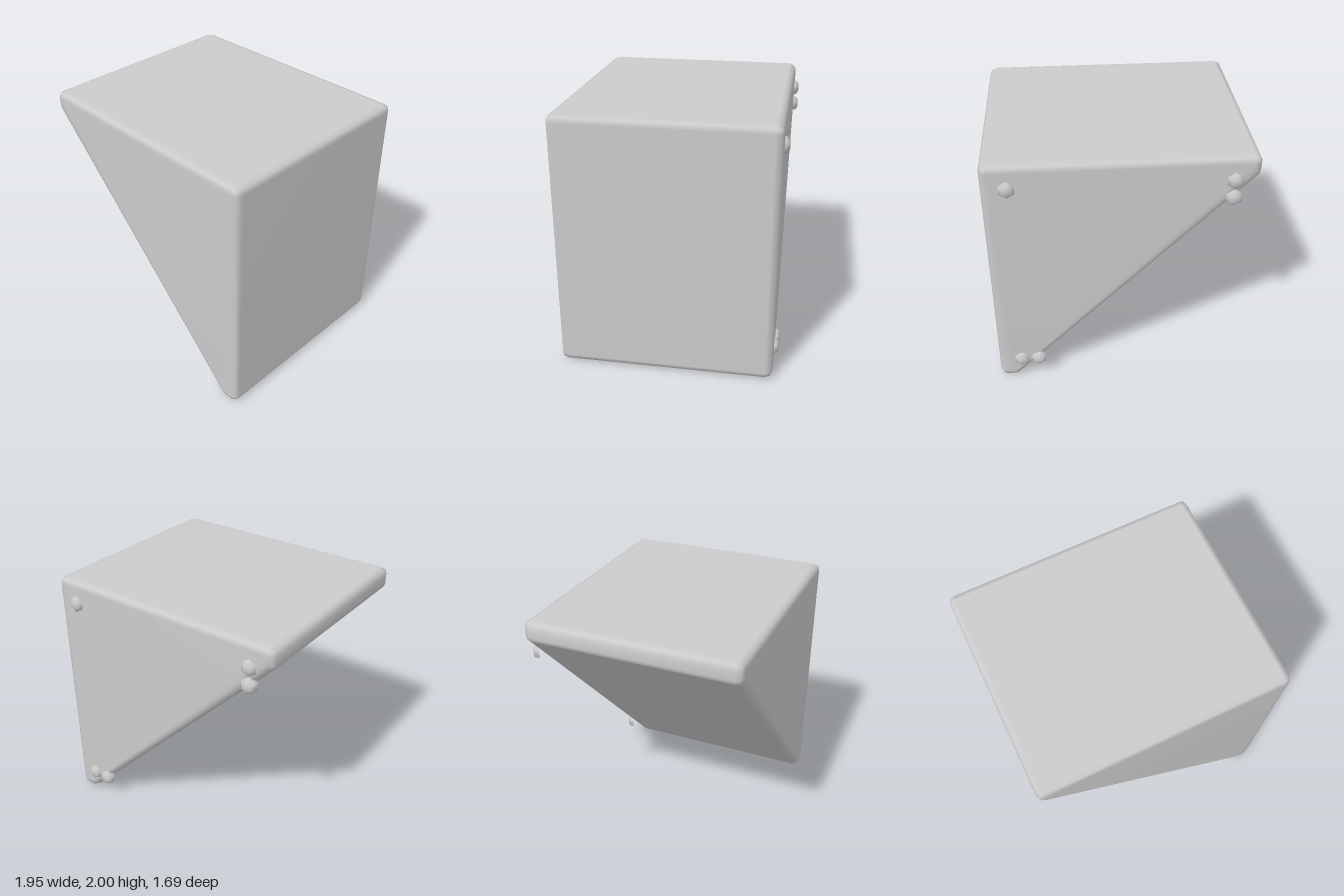
import * as THREE from 'three';
import { mergeVertices } from 'three/addons/utils/BufferGeometryUtils.js';
import { ConvexGeometry } from 'three/addons/geometries/ConvexGeometry.js';

const BEVEL = 0.055;
const FRONT = 0.843, BACK = -0.812;

const material = () => new THREE.MeshStandardMaterial({ color: 0xcccccc });

// Right-angled wedge with blunted tips and a two-step rounded bevel on every edge
function wedgeGeometry() {
  // corners of the flat faces, counter-clockwise, already inset by the bevel
  const corners = [
    [-0.922, 1.88], [0.86, 0.058], [0.922, 0.058], [0.922, 1.945], [-0.922, 1.945],
  ].map(([x, y]) => new THREE.Vector2(x, y));
  const normal = (a, b) => new THREE.Vector2(b.y - a.y, a.x - b.x).normalize();
  const points = [];
  corners.forEach((c, i) => {
    const n0 = normal(corners.at(i - 1), c);
    const n1 = normal(c, corners[(i + 1) % corners.length]);
    const dirs = [n0, n0.clone().add(n1).normalize(), n1];
    for (const [face, sign] of [[FRONT, 1], [BACK, -1]]) {
      points.push(new THREE.Vector3(c.x, c.y, face));
      for (const d of dirs) {
        for (const angle of [0, Math.PI / 4]) {
          const r = BEVEL * Math.cos(angle);
          const z = face - sign * BEVEL * (1 - Math.sin(angle));
          points.push(new THREE.Vector3(c.x + d.x * r, c.y + d.y * r, z));
        }
      }
    }
  });
  // weld the hull so the bevels shade smoothly
  const hull = new ConvexGeometry(points);
  hull.deleteAttribute('normal');
  const geometry = mergeVertices(hull, 1e-5);
  geometry.computeVertexNormals();
  return geometry;
}

// Six-sided bolt head with a chamfered cap, pointing backwards
function boltGeometry() {
  const profile = [[0.0625, -0.03], [0.0625, 0.013], [0.035, 0.036], [0, 0.037]]
    .map(([r, h]) => new THREE.Vector2(r, h));
  return new THREE.LatheGeometry(profile, 6).rotateX(-Math.PI / 2);
}

export function createModel() {
  const model = new THREE.Group();
  model.name = 'wedgeBlock';

  const body = new THREE.Mesh(wedgeGeometry(), material());
  body.name = 'wedgeBody';
  model.add(body);

  // Bolts at the back corners, doubled up at the two sharp tips
  const bolts = new THREE.Group();
  bolts.name = 'backBolts';
  const geometry = boltGeometry();
  const places = [[0.795, 1.82], [-0.79, 1.82], [-0.79, 1.68], [0.795, 0.2], [0.66, 0.2]];
  places.forEach(([x, y], i) => {
    const bolt = new THREE.Mesh(geometry, material());
    bolt.name = `bolt${i + 1}`;
    bolt.position.set(x, y, BACK);
    bolts.add(bolt);
  });
  model.add(bolts);

  return model;
}
